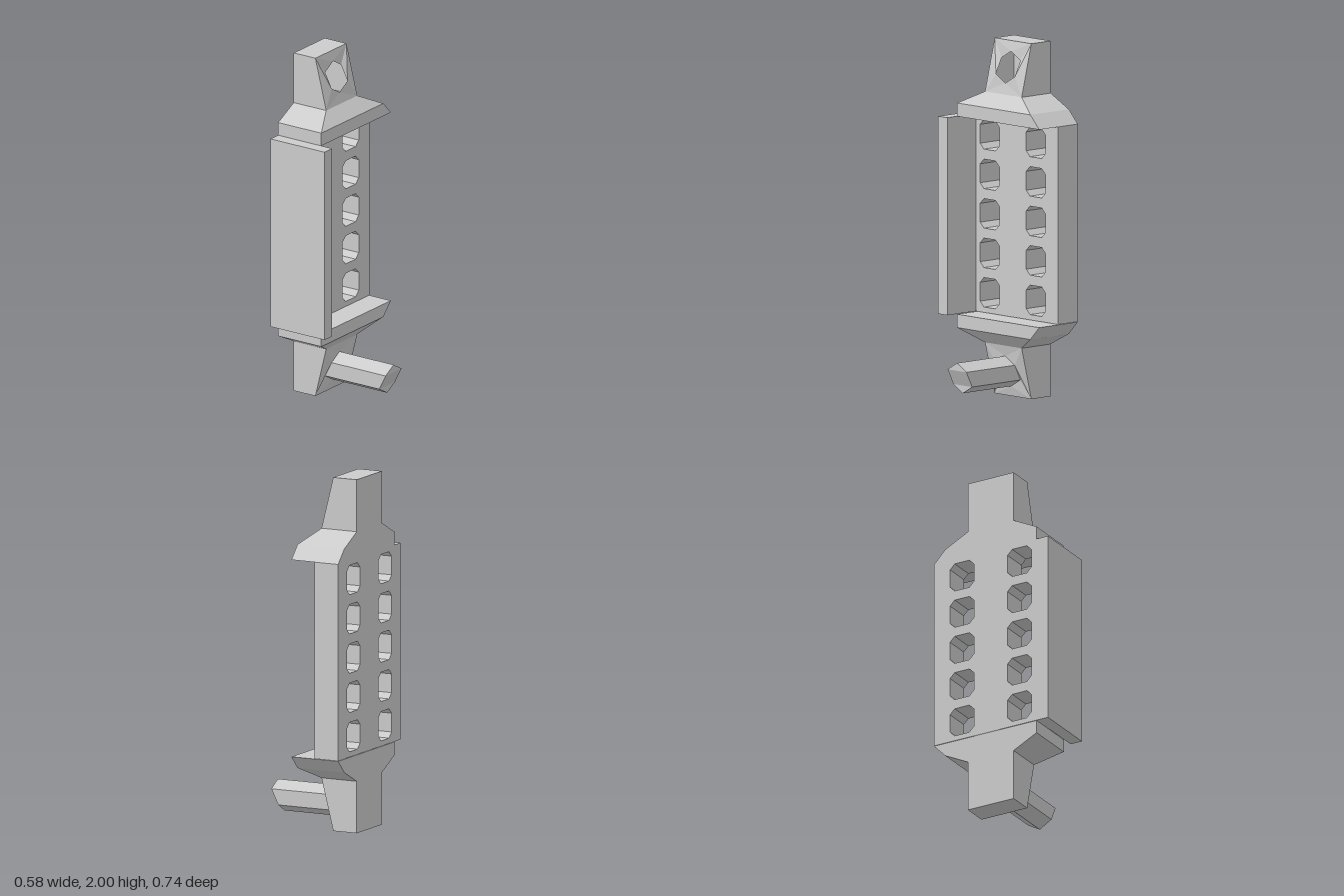
import * as THREE from 'three';

const material = new THREE.MeshStandardMaterial({ color: 0xcccccc, flatShading: true, side: THREE.DoubleSide });
const BACK = -0.29;

function add(group, name, geometry) {
  const mesh = new THREE.Mesh(geometry, material);
  mesh.name = name;
  group.add(mesh);
  return mesh;
}

// Flat-faced geometry from convex polygons; lower = mirrored about y = 1
function facets(polygons, lower) {
  const pos = [];
  const put = ([x, y, z]) => pos.push(x, lower ? 2 - y : y, z);
  for (const p of polygons) {
    for (let i = 1; i < p.length - 1; i++) {
      const tri = [p[0], p[i], p[i + 1]];
      (lower ? tri.reverse() : tri).forEach(put);
    }
  }
  const g = new THREE.BufferGeometry();
  g.setAttribute('position', new THREE.Float32BufferAttribute(pos, 3));
  g.computeVertexNormals();
  return g;
}

// Rectangle at height y, counter-clockwise from above
const rect = (y, x1, zFront, zBack) => [
  [BACK, y, zFront], [x1, y, zFront], [x1, y, zBack], [BACK, y, zBack],
];

// Side faces between two matching rings
const band = (a, b) => a.map((p, i) => {
  const j = (i + 1) % a.length;
  return [p, a[j], b[j], b[i]];
});

// Hexagon on the tab face; its upper half sits deeper than its lower half
function hexRing(offset) {
  const ring = [];
  for (let k = 0; k < 6; k++) {
    const a = k * Math.PI / 3, up = Math.cos(a) > 0;
    ring.push([(up ? -0.127 : -0.083) + offset, 1.855 + 0.0875 * Math.cos(a), 0.0875 * Math.sin(a)]);
  }
  return ring;
}

// Lip at either end of the plate, tapering towards the tab
function lip(lower) {
  const a = rect(1.557, 0.005, 0.297, -0.367);
  const b = rect(1.632, 0.005, 0.297, -0.295);
  const c = rect(1.706, -0.068, 0.148, -0.148);
  return facets([[...a].reverse(), ...band(a, b), ...band(b, c), c], lower);
}

// Hollow tapering tab with a hexagonal opening in its sloped face
function tab(lower) {
  const a = rect(1.706, -0.068, 0.148, -0.148);
  const b = rect(2, -0.142, 0.148, -0.148);
  const sides = band(a, b).filter((_, i) => i !== 1);
  const TL = b[1], TR = b[2], BL = a[1], BR = a[2];
  const h = hexRing(0);
  const face = [
    [TR, TL, h[0]], [TL, h[1], h[0]], [TL, h[2], h[1]], [TL, BL, h[2]], [BL, h[3], h[2]],
    [BL, BR, h[3]], [BR, h[4], h[3]], [BR, TR, h[4]], [TR, h[5], h[4]], [TR, h[0], h[5]],
  ];
  return facets([...sides, b, ...face], lower);
}

// Six-sided peg standing on the lower opening
function peg() {
  const a = hexRing(0), e = hexRing(0.37);
  const end = [[e[0], e[1], e[5]], [e[1], e[2], e[4], e[5]], [e[2], e[3], e[4]]];
  return facets([...band(a, e), ...end], true);
}

// Plate outline in (-z, y) with two columns of chamfered windows
function plate() {
  const shape = new THREE.Shape();
  shape.moveTo(-0.297, 0.445).lineTo(0.367, 0.445).lineTo(0.367, 1.557).lineTo(-0.297, 1.557).closePath();
  const w = 0.077, h = 0.083, c = 0.03;
  for (const u of [-0.186, 0.186]) {
    for (let i = 0; i < 5; i++) {
      const v = 0.558 + i * 0.2222;
      const corners = [
        [-w, -h + c], [-w, h - c], [-w + c, h], [w - c, h],
        [w, h - c], [w, -h + c], [w - c, -h], [-w + c, -h],
      ];
      shape.holes.push(new THREE.Path(corners.map(([x, y]) => new THREE.Vector2(u + x, v + y))));
    }
  }
  const g = new THREE.ExtrudeGeometry(shape, { depth: 0.15, bevelEnabled: false });
  return g.rotateY(Math.PI / 2).translate(BACK, 0, 0);
}

export function createModel() {
  const model = new THREE.Group();
  model.name = 'ventedBracket';

  add(model, 'ventPlate', plate());
  // Deep side flange along the front edge
  add(model, 'sideFlange', new THREE.BoxGeometry(0.37, 1.112, 0.073)).position.set(-0.105, 1.001, 0.3335);

  for (const lower of [false, true]) {
    const side = lower ? 'lower' : 'upper';
    add(model, side + 'Lip', lip(lower));
    add(model, side + 'Tab', tab(lower));
  }
  add(model, 'hexPeg', peg());
  return model;
}
